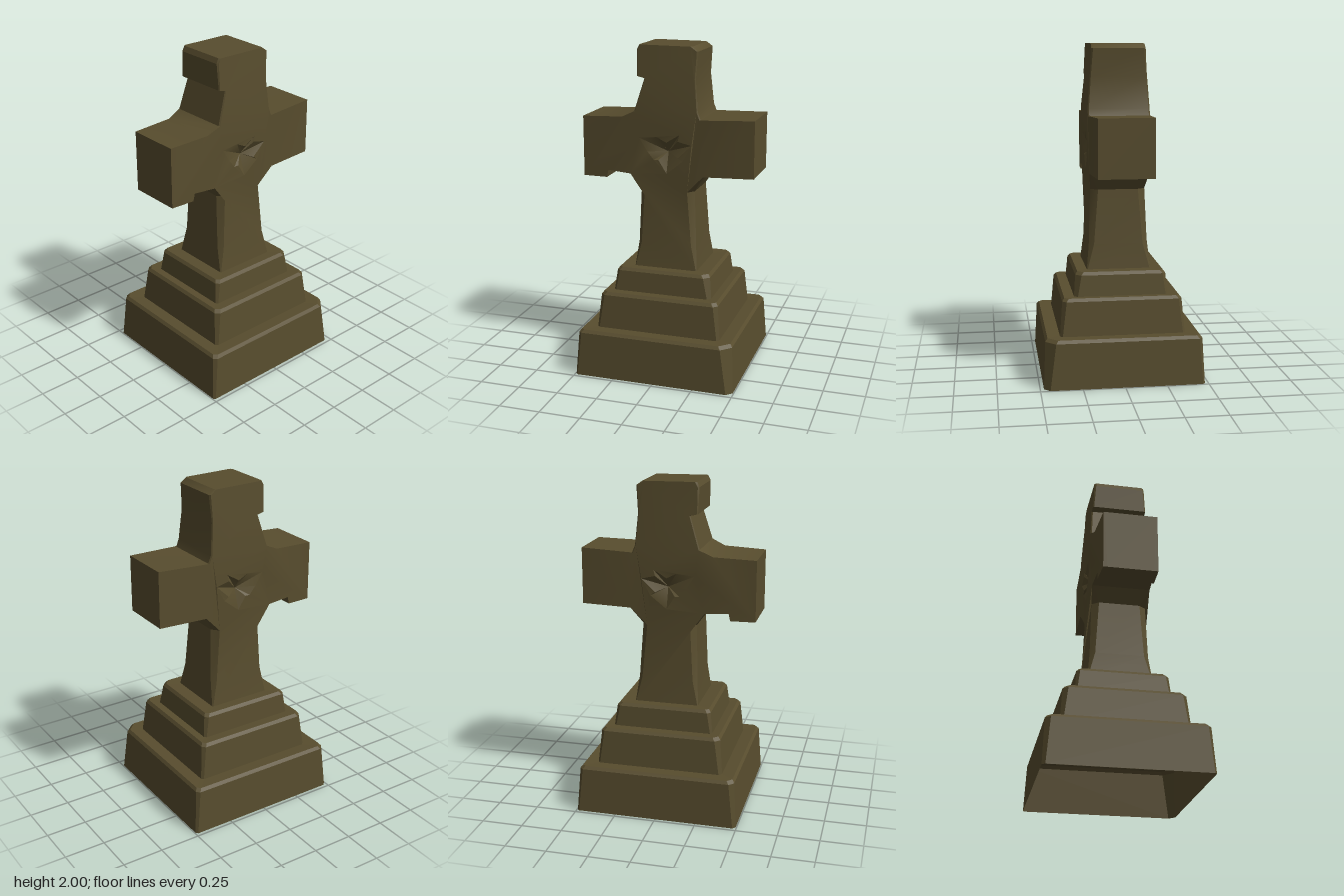
import * as THREE from 'three';
import { toCreasedNormals } from 'three/addons/utils/BufferGeometryUtils.js';

const stone = new THREE.MeshStandardMaterial({ color: 0x584d2e, side: THREE.DoubleSide });
stone.name = 'mossy stone';

// Linear interpolation through [position, value] pairs
function ramp(pairs, t) {
  if (t <= pairs[0][0]) return pairs[0][1];
  for (let i = 1; i < pairs.length; i++) {
    const [a, va] = pairs[i - 1], [b, vb] = pairs[i];
    if (t <= b) return va + (vb - va) * (t - a) / (b - a);
  }
  return pairs[pairs.length - 1][1];
}

// Rectangle with cut corners, counter-clockwise seen from above.
// cuts: corner sizes in the order front-left, back-left, back-right, front-right
function ring(hx, hz, y, cuts) {
  const corners = [[1, 1], [1, -1], [-1, -1], [-1, 1]];
  return corners.flatMap(([sx, sz], i) => {
    const c = cuts[i];
    const alongX = [sx * (hx - c), y, sz * hz], alongZ = [sx * hx, y, sz * (hz - c)];
    return i % 2 === 0 ? [alongX, alongZ] : [alongZ, alongX];
  });
}

// Faceted shell through a stack of rings
function shell(rings) {
  const pos = [];
  for (let r = 0; r < rings.length - 1; r++) {
    const lo = rings[r], hi = rings[r + 1], n = lo.length;
    for (let i = 0; i < n; i++) {
      const j = (i + 1) % n;
      pos.push(...lo[i], ...lo[j], ...hi[j], ...lo[i], ...hi[j], ...hi[i]);
    }
  }
  const g = new THREE.BufferGeometry();
  g.setAttribute('position', new THREE.Float32BufferAttribute(pos, 3));
  g.computeVertexNormals();
  return g;
}

// Hollow step: leaning walls, worn top edge and a ledge running inwards
function step(name, y0, y1, bottom, top, inner, cuts) {
  const low = cuts.map(c => c * 0.6);
  const mesh = new THREE.Mesh(shell([
    ring(bottom[0], bottom[1], y0, low),
    ring(top[0], top[1], y1 - 0.018, cuts),
    ring(top[0] - 0.014, top[1] - 0.014, y1, cuts),
    ring(inner[0], inner[1], y1 - 0.004, low),
  ]), stone);
  mesh.name = name;
  return mesh;
}

// Upright cross with flared armpits, chipped ends and a broken boss on both faces
function crossGeometry() {
  const outline = [
    [-0.2, 0.64], [0.195, 0.64], [0.178, 0.8], [0.16, 1.13], [0.225, 1.235],
    [0.53, 1.24], [0.53, 1.585], [0.21, 1.575], [0.192, 1.62], [0.175, 1.81],
    [0.187, 1.97], [0.15, 1.997], [-0.175, 2], [-0.19, 1.97], [-0.185, 1.815],
    [-0.14, 1.805], [-0.2, 1.61], [-0.28, 1.57], [-0.535, 1.56], [-0.535, 1.19],
    [-0.385, 1.19], [-0.375, 1.235], [-0.23, 1.225], [-0.175, 1.14], [-0.185, 0.8],
  ];
  const boss = [
    [-0.17, 1.45], [-0.06, 1.46], [0, 1.43], [0.08, 1.48], [0.07, 1.44], [0.155, 1.42],
    [0.07, 1.34], [0.1, 1.32], [0, 1.24], [-0.05, 1.32], [-0.08, 1.32], [-0.12, 1.37],
  ];
  const toPoints = list => list.map(([x, y]) => new THREE.Vector2(x, y));
  const shape = new THREE.Shape(toPoints(outline));
  shape.holes.push(new THREE.Path(toPoints(boss)));
  const g = new THREE.ExtrudeGeometry(shape, { depth: 3, steps: 3, bevelEnabled: false });

  const depthByHeight = [[0.64, 0.195], [0.8, 0.178], [1.13, 0.166], [1.24, 0.18],
    [1.61, 0.186], [1.81, 0.17], [2, 0.16]];
  const cutByHeight = [[0.64, 0.004], [0.8, 0.03], [1.13, 0.045], [1.23, 0.01], [1.9, 0.006], [2, 0.012]];
  const p = g.attributes.position;
  for (let i = 0; i < p.count; i++) {
    let x = p.getX(i), y = p.getY(i);
    const layer = Math.round(p.getZ(i));
    const face = layer === 0 || layer === 3;
    const side = layer < 2 ? -1 : 1;
    const inBoss = Math.abs(x) < 0.175 && y > 1.22 && y < 1.5;
    let depth = ramp(depthByHeight, y);
    if (Math.abs(x) > 0.25) depth = ramp([[0.25, 0.176], [0.53, 0.164]], Math.abs(x));
    const cut = ramp(cutByHeight, y);
    if (inBoss) {
      // Inner layers close to a point, leaving a shallow faceted pit
      if (!face) { x = 0; y = 1.37; depth -= 0.045; }
    } else if (face) {
      if (Math.abs(x) < 0.21) x -= Math.sign(x) * cut * 0.8;
    } else {
      depth -= cut;
    }
    p.setXYZ(i, x, y, side * depth);
  }
  g.computeVertexNormals();
  return toCreasedNormals(g, 0.45);
}

export function createModel() {
  const group = new THREE.Group();
  group.name = 'stone grave cross';

  // Stepped plinth
  group.add(
    step('lowerStep', 0, 0.292, [0.495, 0.478], [0.477, 0.465], [0.375, 0.36], [0.06, 0.02, 0.03, 0.02]),
    step('middleStep', 0.28, 0.512, [0.388, 0.375], [0.368, 0.358], [0.29, 0.27], [0.025, 0.02, 0.03, 0.025]),
    step('upperStep', 0.5, 0.652, [0.308, 0.283], [0.292, 0.272], [0.18, 0.18], [0.035, 0.02, 0.02, 0.02]),
  );

  const cross = new THREE.Mesh(crossGeometry(), stone);
  cross.name = 'cross';
  group.add(cross);
  return group;
}
